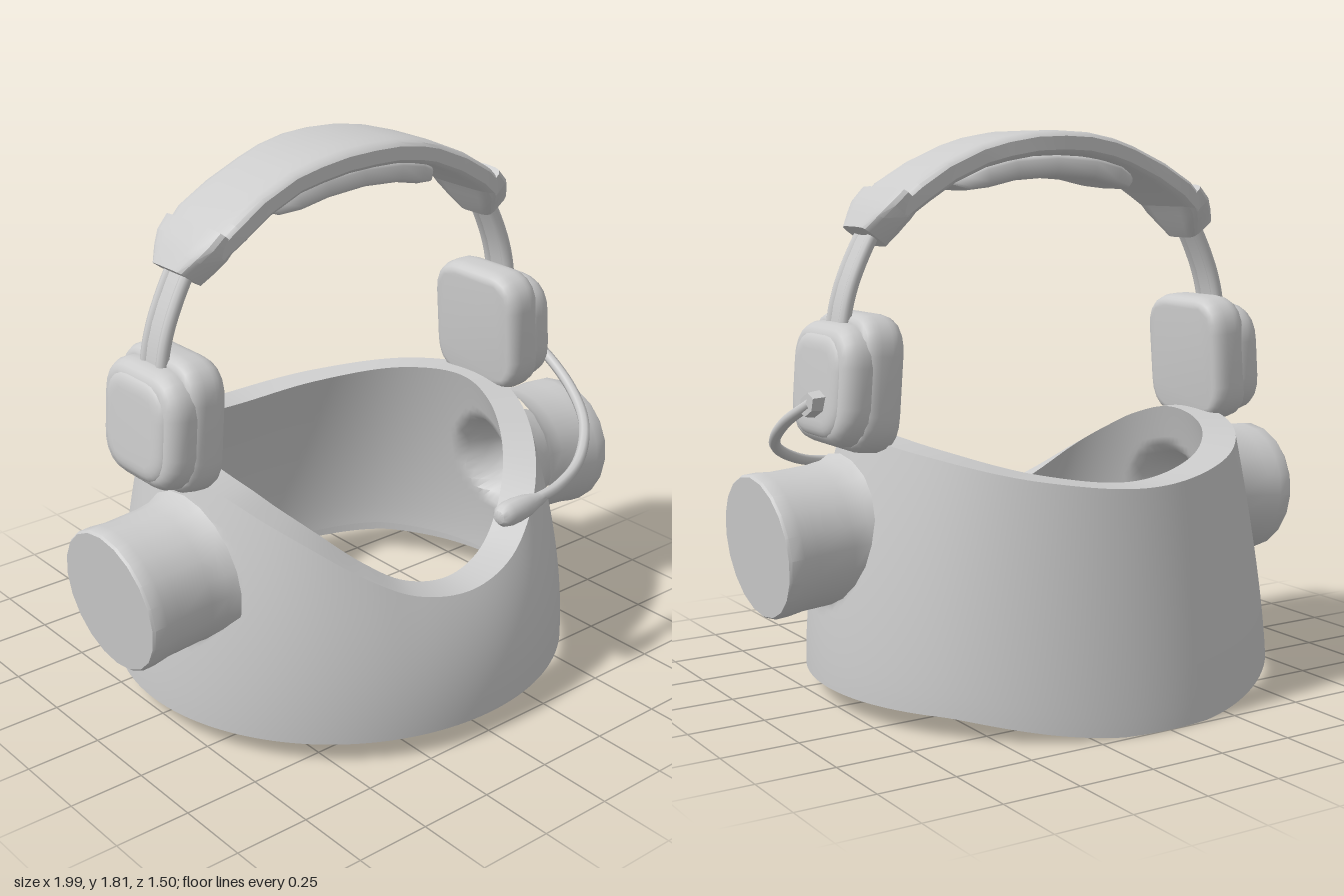
import * as THREE from 'three';
import { toCreasedNormals } from 'three/addons/utils/BufferGeometryUtils.js';

const material = new THREE.MeshStandardMaterial({ color: 0xcccccc });
const V = (x, y, z) => new THREE.Vector3(x, y, z);
const { smoothstep, clamp } = THREE.MathUtils;

function add(parent, name, geometry) {
  const mesh = new THREE.Mesh(geometry, material);
  mesh.name = name;
  parent.add(mesh);
  return mesh;
}

// Skin a list of closed loops; either join last to first or cap both ends
function loft(loops, joinEnds, crease) {
  const n = loops[0].length, m = loops.length, index = [];
  const points = loops.flat();
  for (let i = 0; i < (joinEnds ? m : m - 1); i++) {
    for (let j = 0; j < n; j++) {
      const k = (j + 1) % n, r = i * n, q = ((i + 1) % m) * n;
      index.push(r + j, r + k, q + k, r + j, q + k, q + j);
    }
  }
  if (!joinEnds) {
    for (const [r, flip] of [[0, true], [(m - 1) * n, false]]) {
      const c = points.length;
      points.push(points.slice(r, r + n).reduce((s, p) => s.add(p), V(0, 0, 0)).divideScalar(n));
      for (let j = 0; j < n; j++) {
        const a = r + j, b = r + (j + 1) % n;
        index.push(c, flip ? b : a, flip ? a : b);
      }
    }
  }
  const g = new THREE.BufferGeometry().setFromPoints(points);
  g.setIndex(index);
  return toCreasedNormals(g, crease);
}

// Strap along a path in the xy plane; rows are [x, y, half width, half thickness]
function strap(rows, crease = 0.6) {
  const soft = v => Math.sign(v) * Math.abs(v) ** 0.4;
  const loops = rows.map(([x, y, w, h], i) => {
    const a = rows[Math.max(i - 1, 0)], b = rows[Math.min(i + 1, rows.length - 1)];
    const t = V(b[0] - a[0], b[1] - a[1], 0).normalize();
    return Array.from({ length: 16 }, (_, j) => {
      const u = (j + 0.5) / 16 * Math.PI * 2, d = h * soft(Math.cos(u));
      return V(x - t.y * d, y + t.x * d, w * soft(Math.sin(u)));
    });
  });
  return loft(loops, false, crease);
}

const mirrorRows = half => [...half.slice(1).reverse().map(([x, ...r]) => [-x, ...r]), ...half];

// Rounded slab in the yz plane, from x0 to x1
function slab(halfZ, halfY, radius, x0, x1, bevel, inset) {
  const s = new THREE.Shape(), w = halfZ - inset, h = halfY - inset, r = radius;
  s.moveTo(-w + r, -h);
  s.lineTo(w - r, -h); s.quadraticCurveTo(w, -h, w, -h + r);
  s.lineTo(w, h - r); s.quadraticCurveTo(w, h, w - r, h);
  s.lineTo(-w + r, h); s.quadraticCurveTo(-w, h, -w, h - r);
  s.lineTo(-w, -h + r); s.quadraticCurveTo(-w, -h, -w + r, -h);
  const g = new THREE.ExtrudeGeometry(s, {
    depth: x1 - x0 - 2 * bevel, bevelThickness: bevel, bevelSize: inset, bevelSegments: 5, curveSegments: 5,
  });
  g.translate(0, 0, x0 + bevel).rotateY(Math.PI / 2);
  return toCreasedNormals(g, 0.7);
}

function lathe(profile, sides) {
  return toCreasedNormals(new THREE.LatheGeometry(profile.map(([r, y]) => new THREE.Vector2(r, y)), sides), 0.7);
}

// Height of the collar's rim at each angle from the front, as [degrees, height]
const rimCurve = new THREE.SplineCurve([
  [-17, 0.505], [0, 0.472], [17, 0.505], [31, 0.585], [46, 0.69], [58, 0.76], [72, 0.825], [90, 0.862],
  [117, 0.835], [150, 0.77], [180, 0.735], [210, 0.77],
].map(([a, h]) => new THREE.Vector2(a, h)));
const rimPoints = rimCurve.getPoints(440);
function rimHeight(deg) {
  const i = rimPoints.findIndex(p => p.x >= deg), a = rimPoints[i - 1], b = rimPoints[i];
  return a.y + (b.y - a.y) * (deg - a.x) / (b.x - a.x);
}

function collarGeometry() {
  const columns = 160, rows = 26;
  const ring = place => Array.from({ length: columns }, (_, j) => {
    const t = j / columns * Math.PI * 2, deg = Math.min(t, 2 * Math.PI - t) * 180 / Math.PI;
    const bottom = 0.07 - 0.067 * clamp((-Math.cos(t) - 0.6) / 0.38, 0, 1) ** 1.5;
    const [k, y, swellFrom] = place(t, bottom, rimHeight(deg));
    const p = V(0.78 * k * Math.sin(t), y, 0.75 * k * Math.cos(t));
    // Wall swells outwards into each side port
    const d = Math.hypot(p.y - 0.535, p.z - 0.08);
    p.x += Math.sign(p.x) * 0.2 * (1 - smoothstep(d, swellFrom, swellFrom + 0.1));
    return p;
  });
  const loops = [], lip = 0.06;
  // Outer wall, upwards
  for (let i = 0; i <= rows; i++) {
    const v = i / rows;
    loops.push(ring((t, low, high) => [
      1 - (0.13 + 0.02 * Math.sin(t) ** 2) * v ** (1.65 + 0.5 * Math.cos(t)), low + (high - low) * v, 0.105]));
  }
  // Inner wall, downwards, ending in a ledge above a thin skirt
  for (let i = rows; i >= 0; i--) {
    const v = i / rows;
    loops.push(ring((t, low, high) => [0.9 - 0.185 * v ** 1.6, low + lip + (high - low - lip) * v, 0.08]));
  }
  loops.push(ring((t, low) => [0.98, low + lip, 0.08]), ring((t, low) => [0.985, low, 0.08]));
  return loft(loops, true, 1.05);
}

export function createModel() {
  const model = new THREE.Group();
  model.name = 'collarWithHeadset';

  add(model, 'collar', collarGeometry());

  // Headband and its cushion
  add(model, 'headband', strap(mirrorRows([
    [0, 1.771, 0.178, 0.041], [0.1, 1.767, 0.174, 0.041], [0.2, 1.75, 0.165, 0.041], [0.28, 1.728, 0.153, 0.04],
    [0.4, 1.677, 0.152, 0.04], [0.5, 1.617, 0.157, 0.04], [0.57, 1.56, 0.142, 0.035],
  ])));
  add(model, 'headbandCushion', strap(mirrorRows([
    [0, 1.70, 0.13, 0.04], [0.15, 1.69, 0.13, 0.04], [0.25, 1.667, 0.12, 0.04], [0.31, 1.648, 0.095, 0.028], [0.35, 1.65, 0.05, 0.01],
  ]), 1));

  for (const s of [1, -1]) {
    const side = s > 0 ? 'left' : 'right';

    // Side port, flaring slightly where it meets the collar
    const port = add(model, side + 'Port', lathe(
      [[0.245, -0.31], [0.228, -0.275], [0.222, -0.22], [0.222, -0.1], [0.228, -0.05], [0.228, -0.008], [0.222, 0], [0, 0]], 20));
    port.rotation.z = -s * (Math.PI / 2 + 0.08);
    port.scale.z = 1.07;
    port.position.set(s * 0.978, 0.53, 0.08);

    // Slider housing at the end of the headband
    add(model, side + 'Slider', strap([
      [s * 0.538, 1.603, 0.15, 0.048], [s * 0.575, 1.562, 0.142, 0.053], [s * 0.602, 1.525, 0.115, 0.055], [s * 0.632, 1.483, 0.08, 0.054],
    ], 0.4));

    // Flat arm from slider to ear cup, with a raised edge along each side
    const arm = [[0.605, 1.52], [0.642, 1.455], [0.672, 1.395], [0.697, 1.335], [0.715, 1.275], [0.727, 1.21], [0.735, 1.13]];
    add(model, side + 'Arm', strap(arm.map(([x, y]) => [s * x, y, 0.05, 0.013])));
    for (const z of [-0.042, 0.042]) {
      const path = new THREE.CatmullRomCurve3(arm.map(([x, y]) => V(s * x, y, z)));
      add(model, side + 'ArmEdge', new THREE.TubeGeometry(path, 16, 0.02, 8));
    }

    // Ear cup: cushion, domed shell and flat cap
    const cup = new THREE.Group();
    cup.name = side + 'EarCup';
    cup.position.set(s * 0.705, 1.04, 0);
    cup.rotation.y = s > 0 ? 0 : Math.PI;
    model.add(cup);
    const parts = [
      ['earCushion', slab(0.202, 0.215, 0.09, -0.105, 0.032, 0.05, 0.035)],
      ['earShell', slab(0.198, 0.19, 0.08, -0.04, 0.1, 0.06, 0.05).translate(0, -0.008, 0)],
      ['earCap', slab(0.16, 0.16, 0.06, 0.03, 0.112, 0.025, 0.05).translate(0, -0.012, 0)],
    ];
    for (const [name, g] of parts) add(cup, name, g.rotateZ(0.075));
  }

  // Microphone on the left ear cup
  const hub = add(model, 'microphoneHub', toCreasedNormals(new THREE.CylinderGeometry(0.034, 0.042, 0.06, 6), 0.3));
  hub.rotation.set(0.46, 0, -Math.PI / 2);
  hub.scale.z = 1.6;
  hub.position.set(0.828, 0.98, -0.04);
  const boom = new THREE.CatmullRomCurve3([
    V(0.845, 0.985, -0.05), V(0.85, 0.91, 0.12), V(0.82, 0.83, 0.28), V(0.74, 0.765, 0.42),
    V(0.6, 0.705, 0.53), V(0.44, 0.68, 0.59), V(0.28, 0.672, 0.61),
  ]);
  add(model, 'microphoneBoom', new THREE.TubeGeometry(boom, 40, 0.019, 8));
  const tip = add(model, 'microphoneTip', lathe(
    [[0, -0.09], [0.022, -0.086], [0.036, -0.07], [0.041, -0.045], [0.041, 0], [0.036, 0.05], [0.026, 0.09], [0.018, 0.13]], 14));
  tip.rotation.set(0, 0.08, -Math.PI / 2, 'YXZ');
  tip.position.set(0.225, 0.67, 0.615);

  return model;
}
